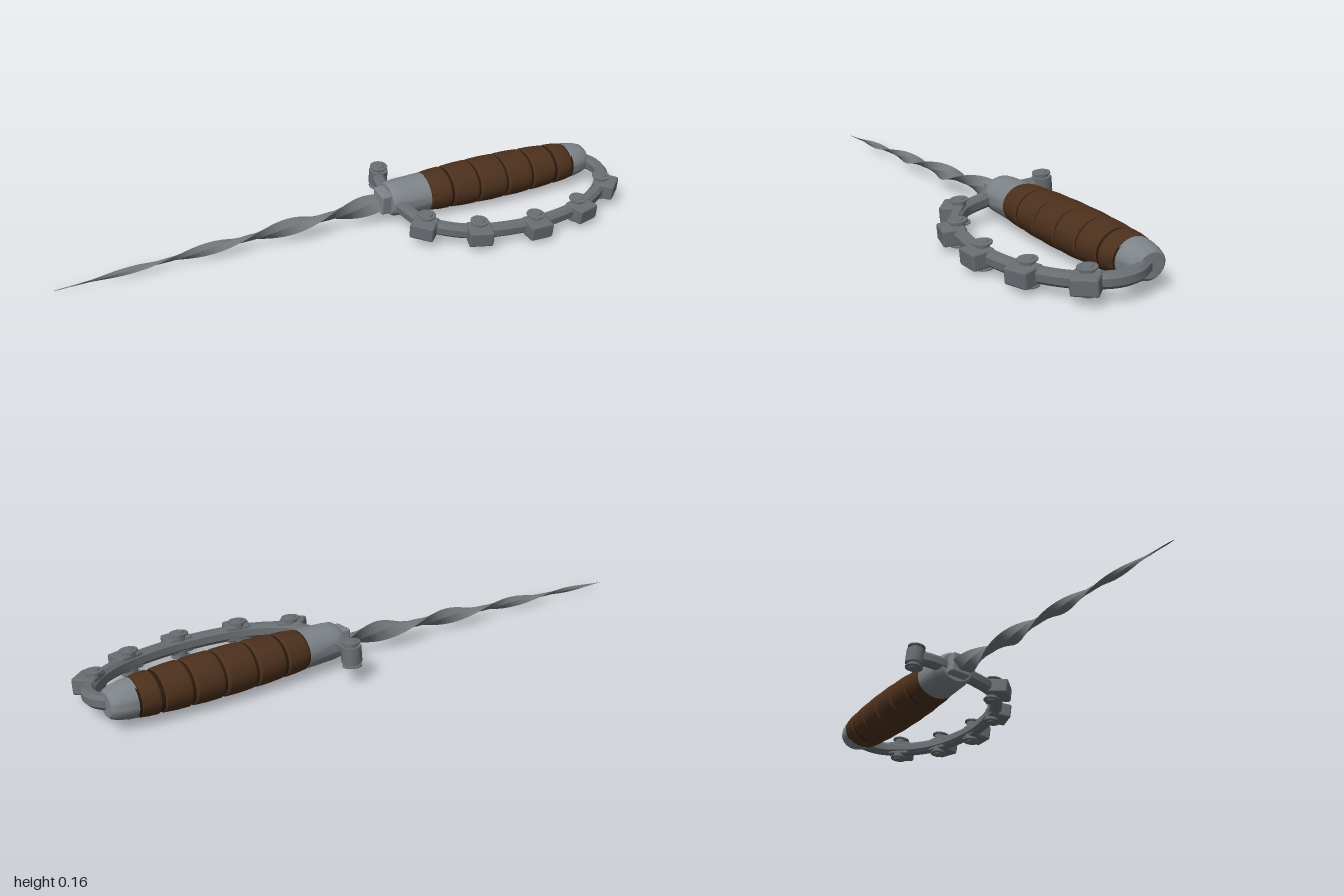
import * as THREE from 'three';
import { toCreasedNormals } from 'three/addons/utils/BufferGeometryUtils.js';
import { RoundedBoxGeometry } from 'three/addons/geometries/RoundedBoxGeometry.js';

const mat = (name, color, side = THREE.FrontSide) => {
  const m = new THREE.MeshStandardMaterial({ color, side });
  m.name = name;
  return m;
};

// Closed solid through equal-sized rings of points
function loft(rings, crease) {
  const n = rings[0].length, index = [];
  for (let i = 0; i < rings.length - 1; i++) {
    for (let j = 0; j < n; j++) {
      const a = i * n + j, b = i * n + (j + 1) % n;
      index.push(a, b, b + n, a, b + n, a + n);
    }
  }
  const last = (rings.length - 1) * n;
  for (let j = 1; j < n - 1; j++) {
    index.push(0, j + 1, j, last, last + j, last + j + 1);
  }
  const g = new THREE.BufferGeometry().setFromPoints(rings.flat());
  g.setIndex(index);
  return toCreasedNormals(g, crease);
}

// Turned part lying along x, slightly oval; profile is [x, radius]
function turned(profile, oval = 1.18) {
  const g = new THREE.LatheGeometry(profile.map(([x, r]) => new THREE.Vector2(r, x)), 40);
  g.rotateZ(-Math.PI / 2).scale(1, 1, oval);
  return toCreasedNormals(g, 0.6);
}

export function createModel() {
  const steel = mat('steel', 0x7d8388);
  const bladeSteel = mat('blade steel', 0x72777a);
  const iron = mat('guard iron', 0x696e72);
  const leather = mat('leather', 0x4c301c);
  const darkLeather = mat('dark leather', 0x2a1a10);

  const model = new THREE.Group();
  const sword = new THREE.Group();
  sword.name = 'twistedDagger';
  sword.position.set(0, 0.08, -0.1);
  sword.rotation.x = 0.11;
  model.add(sword);
  const add = (name, geometry, material, parent = sword) => {
    const m = new THREE.Mesh(geometry, material);
    m.name = name;
    parent.add(m);
    return m;
  };

  // Blade: diamond section twisting two turns towards the point
  const rings = [];
  for (let i = 0; i <= 72; i++) {
    const t = i / 72, x = -1 + 1.15 * t;
    const half = 0.0006 + 0.037 * Math.pow(t, 0.75);
    const twist = -(x - 0.02) / 0.285 * Math.PI;
    const ring = [];
    for (let k = 0; k < 4; k++) {
      const r = k % 2 ? half * 0.42 : half, a = twist + k * Math.PI / 2;
      ring.push(new THREE.Vector3(x, -0.075 + 0.068 * t + r * Math.cos(a), -0.002 + 0.002 * t + r * Math.sin(a)));
    }
    rings.push(ring);
  }
  add('blade', loft(rings, 0.6), bladeSteel);

  // Collar and ferrule
  add('collar', new RoundedBoxGeometry(0.05, 0.075, 0.075, 2, 0.008), steel).position.x = 0.155;
  add('ferrule', turned([[0.165, 0], [0.165, 0.05], [0.175, 0.057], [0.2, 0.06], [0.305, 0.064], [0.305, 0]]), steel);

  // Grip: wrapped leather bands over a dark core
  const swell = x => 0.0745 - 0.135 * (x - 0.58) ** 2;
  const cuts = [0.3, 0.39, 0.495, 0.605, 0.71, 0.81, 0.885];
  add('gripCore', turned([[0.3, 0], [0.3, 0.062], [0.45, 0.066], [0.58, 0.068], [0.75, 0.066], [0.885, 0.06], [0.885, 0]]), darkLeather);
  for (let i = 0; i < cuts.length - 1; i++) {
    const a = cuts[i] + 0.003, b = cuts[i + 1] - 0.003, m = (a + b) / 2;
    add('gripBand', turned([
      [a, 0.05], [a, swell(a) - 0.006], [a + 0.007, swell(a)], [m, swell(m) + 0.001],
      [b - 0.007, swell(b)], [b, swell(b) - 0.006], [b, 0.05],
    ]), leather);
  }

  // Pommel
  add('pommel', turned([[0.88, 0], [0.88, 0.061], [0.905, 0.059], [0.935, 0.053], [0.955, 0.046], [0.963, 0.038], [0.963, 0]], 1.15), steel);

  // Knuckle guard: chamfered bar swept from the rear quillon round to the pommel
  const path = new THREE.CatmullRomCurve3([
    [0.2, -0.245], [0.185, -0.19], [0.187, -0.1], [0.2, 0], [0.225, 0.075], [0.285, 0.135], [0.375, 0.18],
    [0.575, 0.207], [0.765, 0.178], [0.87, 0.128], [0.93, 0.075], [0.968, 0.02], [0.972, -0.04], [0.945, -0.09],
  ].map(([x, z]) => new THREE.Vector3(x, 0, z + 0.1)));
  const section = [[1, -0.5], [1, 0.5], [0.5, 1], [-0.5, 1], [-1, 0.5], [-1, -0.5], [-0.5, -1], [0.5, -1]];
  const bar = [];
  for (let i = 0; i <= 80; i++) {
    const p = path.getPointAt(i / 80), t = path.getTangentAt(i / 80);
    bar.push(section.map(([u, v]) =>
      new THREE.Vector3(p.x + t.z * u * 0.022, v * 0.023, p.z - t.x * u * 0.022)));
  }
  add('knuckleGuard', loft(bar, 0.5), iron);

  // Rivet heads above and below a point on the guard
  const rivetGeometry = toCreasedNormals(new THREE.LatheGeometry([
    [0.022, 0.015], [0.022, 0.036], [0.031, 0.037], [0.031, 0.041], [0.019, 0.042], [0.017, 0.046], [0, 0.046],
  ].map(([r, y]) => new THREE.Vector2(r, y)), 16), 0.5);
  const addRivets = parent => {
    for (const turn of [0, Math.PI]) add('rivet', rivetGeometry, iron, parent).rotation.x = turn;
  };

  // Square studs round the knuckle guard
  const studGeometry = new RoundedBoxGeometry(0.084, 0.054, 0.078, 1, 0.007);
  for (const [x, z, turn] of [
    [0.225, 0.085, -0.75], [0.375, 0.178, -0.27], [0.575, 0.21, 0], [0.765, 0.178, 0.27], [0.92, 0.085, 0.75],
  ]) {
    const stud = new THREE.Group();
    stud.name = 'stud';
    stud.position.set(x, 0, z + 0.1);
    stud.rotation.y = turn;
    add('studBlock', studGeometry, iron, stud).position.z = 0.02;
    addRivets(stud);
    sword.add(stud);
  }

  // Rounded end of the rear quillon
  const quillon = new THREE.Group();
  quillon.name = 'quillonEnd';
  quillon.position.set(0.2, 0, -0.145);
  add('quillonKnob', toCreasedNormals(new THREE.CylinderGeometry(0.033, 0.033, 0.052, 12), 0.6), iron, quillon);
  addRivets(quillon);
  sword.add(quillon);

  return model;
}
